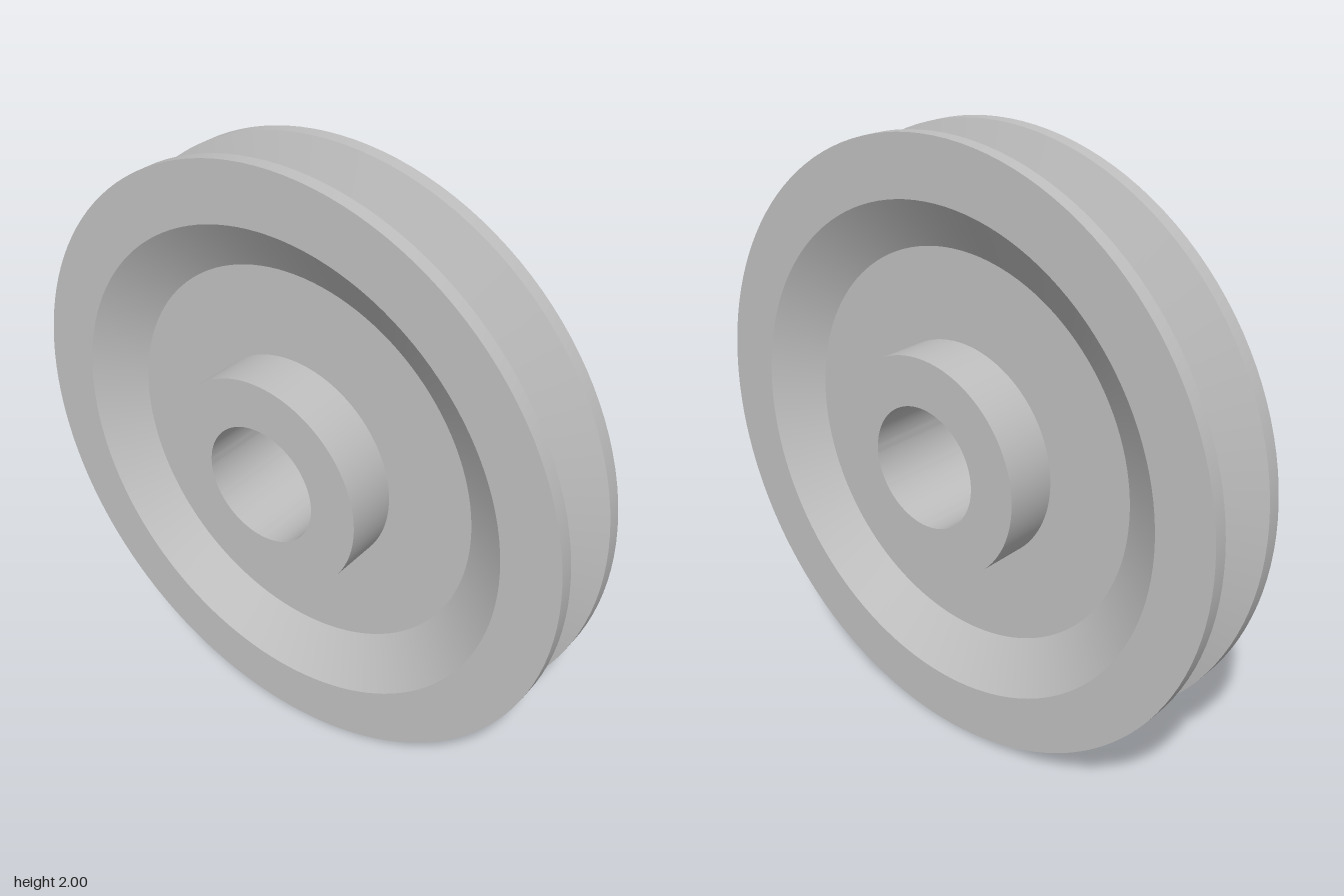
import * as THREE from 'three';
import { toCreasedNormals } from 'three/addons/utils/BufferGeometryUtils.js';

const SEGMENTS = 128;

// Revolves the right half of a profile, mirrored about the middle plane, around the x axis.
// Points are [radius, x], running from the inside of the right face to the outer middle.
function mirroredRevolve(half, closed, material, name) {
  const right = half.map(([r, x]) => new THREE.Vector2(r, x));
  const left = half.map(([r, x]) => new THREE.Vector2(r, -x));
  const profile = [...left, ...right.reverse()];
  if (closed) profile.push(profile[0].clone());
  const geometry = toCreasedNormals(new THREE.LatheGeometry(profile, SEGMENTS), 0.35);
  geometry.rotateZ(-Math.PI / 2);
  const mesh = new THREE.Mesh(geometry, material);
  mesh.name = name;
  return mesh;
}

export function createModel() {
  const metal = new THREE.MeshStandardMaterial({ color: 0xc0c0c0 });
  metal.name = 'light grey metal';

  const pulley = new THREE.Group();
  pulley.name = 'pulley';

  // Recessed web, sloping shoulder, flat flange and V groove
  const wheel = mirroredRevolve(
    [[0.355, 0.05], [0.65, 0.05], [0.81, 0.156], [1, 0.156], [1, 0.11], [0.81, 0.054]],
    false, metal, 'groovedWheel');

  // Hub with a through bore
  const hub = mirroredRevolve([[0.2, 0.225], [0.36, 0.225]], true, metal, 'hub');

  pulley.add(wheel, hub);
  pulley.position.y = 1;

  const model = new THREE.Group();
  model.add(pulley);
  return model;
}
